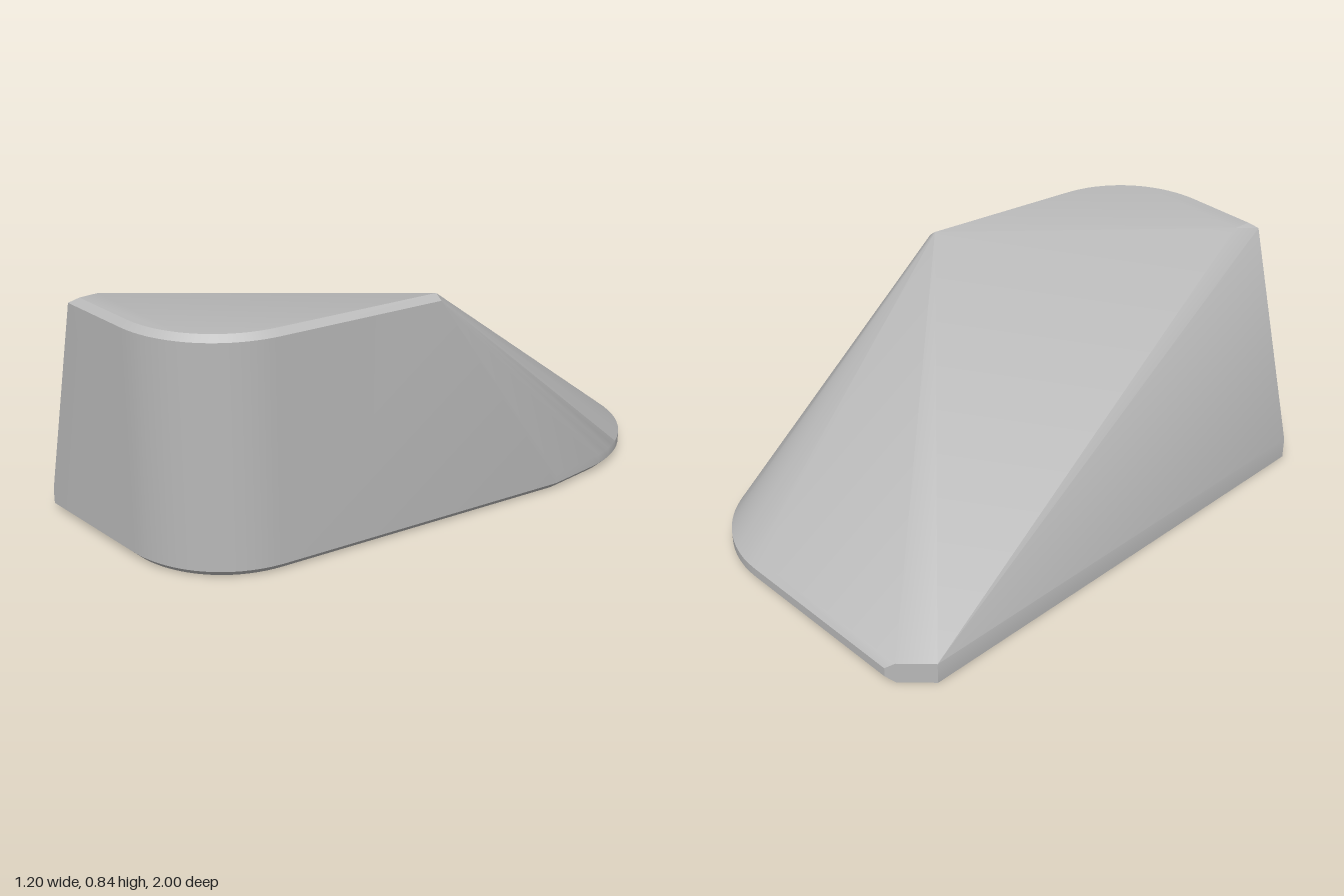
import * as THREE from 'three';
import { ConvexGeometry } from 'three/addons/geometries/ConvexGeometry.js';
import { toCreasedNormals } from 'three/addons/utils/BufferGeometryUtils.js';

const RADIUS = 0.4;
const BEVEL = 0.025;
const SIDE_ANGLE = Math.atan2(0.2, 1); // lean of the tapering right wall in plan

// Points [x, z] along an arc around (cx, cz)
function arc(cx, cz, r, from, to, steps = 18) {
  return Array.from({ length: steps + 1 }, (_, i) => {
    const a = from + ((to - from) * i) / steps;
    return [cx + r * Math.cos(a), cz + r * Math.sin(a)];
  });
}

// Rounded front corner, tangent to the tapering wall
const frontCorner = (inset) => arc(-0.008, 0.6, RADIUS - inset, SIDE_ANGLE, Math.PI / 2);

// Plan outline of the base, inset everywhere but on the flat left side
function baseOutline(inset) {
  return [
    [-0.6, -0.88],
    [-0.48 - inset, -1 + inset],
    ...arc(0.2, -0.6, RADIUS - inset, -Math.PI / 2, 0),
    [0.6 - inset, -0.4],
    ...frontCorner(inset),
    [-0.48 - inset, 1 - inset],
    [-0.6, 0.88],
  ];
}

export function createModel() {
  const group = new THREE.Group();
  group.name = 'wedgeBlock';

  const grey = new THREE.MeshStandardMaterial({ color: 0xb8b8b8 });
  grey.name = 'light grey';

  const points = [];
  const addRing = (outline, y) => {
    for (const [x, z] of outline) points.push(new THREE.Vector3(x, y, z));
  };

  // Base: bevelled underside, short upright rim, bevel into the slope
  addRing(baseOutline(BEVEL), 0);
  addRing(baseOutline(0), 0.025);
  addRing(baseOutline(0), 0.06);
  addRing(baseOutline(BEVEL), 0.08);
  addRing([[-0.48, 1]], 0.08);

  // Raised front part with a bevelled top edge
  addRing([[0.5, 0.1], ...frontCorner(0), [-0.3, 1]], 0.82);
  addRing([[0.475, 0.1], ...frontCorner(BEVEL), [-0.27, 0.975], [-0.265, 0.91]], 0.84);

  // The block is convex, so its skin is the hull of the rings
  const geometry = toCreasedNormals(new ConvexGeometry(points), THREE.MathUtils.degToRad(28));
  const block = new THREE.Mesh(geometry, grey);
  block.name = 'slopedBlock';
  group.add(block);
  return group;
}
